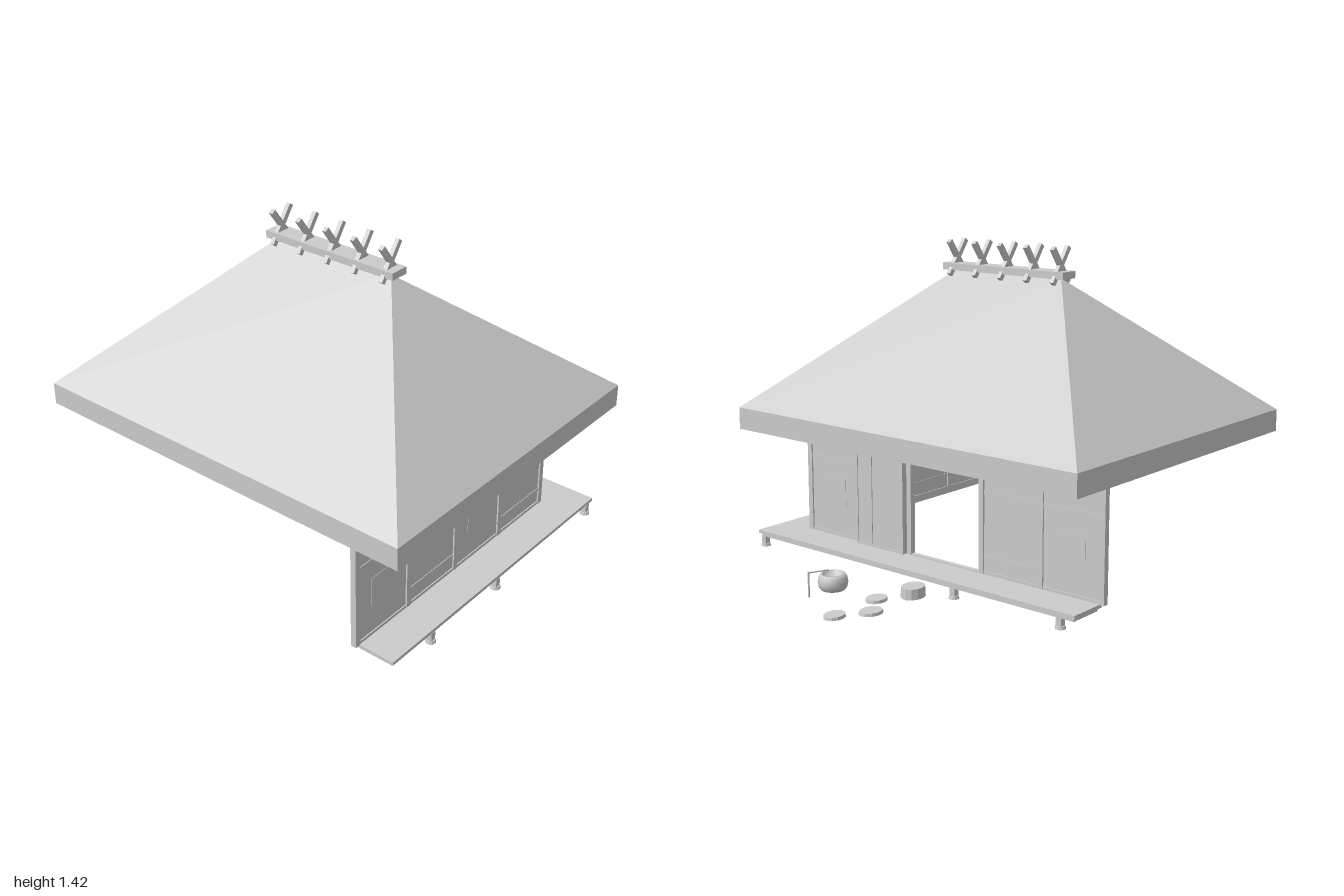
import * as THREE from 'three';

const mat = new THREE.MeshStandardMaterial({ color: 0xcccccc, flatShading: true, side: THREE.DoubleSide });
const smooth = new THREE.MeshStandardMaterial({ color: 0xcccccc, side: THREE.DoubleSide });

function add(parent, name, geo, x = 0, y = 0, z = 0, material = mat) {
  const m = new THREE.Mesh(geo, material);
  m.name = name;
  m.position.set(x, y, z);
  parent.add(m);
  return m;
}

// Box given by its minimum and maximum corners
function box(parent, name, x0, x1, y0, y1, z0, z1) {
  return add(parent, name, new THREE.BoxGeometry(x1 - x0, y1 - y0, z1 - z0),
    (x0 + x1) / 2, (y0 + y1) / 2, (z0 + z1) / 2);
}

function group(parent, name) {
  const g = new THREE.Group();
  g.name = name;
  parent.add(g);
  return g;
}

// Hipped roof: straight eave band, slopes rising to a ridge, flat underside
function roofGeometry() {
  const ring = (x0, x1, y, z0, z1) => [[x0, y, z1], [x1, y, z1], [x1, y, z0], [x0, y, z0]];
  const rings = [ring(-1, 0.54, 0.56, -0.955, 0.95), ring(-1, 0.54, 0.66, -0.955, 0.95),
    ring(-0.23, -0.23, 1.275, -0.3, 0.3)];
  const pos = [];
  const quad = (a, b, c, d) => pos.push(...a, ...b, ...c, ...a, ...c, ...d);
  for (let r = 0; r < 2; r++) {
    for (let i = 0; i < 4; i++) {
      const j = (i + 1) % 4;
      quad(rings[r][i], rings[r][j], rings[r + 1][j], rings[r + 1][i]);
    }
  }
  quad(...[...rings[0]].reverse());
  const geo = new THREE.BufferGeometry();
  geo.setAttribute('position', new THREE.Float32BufferAttribute(pos, 3));
  geo.computeVertexNormals();
  return geo;
}

// L-shaped slab running along the front and the +x side
function deckGeometry(inset, height) {
  const x0 = -0.957 + inset, x1 = 0.49 - inset, z0 = -0.915 + inset, z1 = 0.9 - inset;
  const xi = 0.305 + inset, zi = 0.715 + inset;
  const pts = [[x0, -z1], [x1, -z1], [x1, -z0], [xi, -z0], [xi, -zi], [x0, -zi]];
  const shape = new THREE.Shape(pts.map(p => new THREE.Vector2(...p)));
  return new THREE.ExtrudeGeometry(shape, { depth: height, bevelEnabled: false }).rotateX(-Math.PI / 2);
}

// One wall bay from a to b in the wall's own x, facing +z
function bay(wall, a, b, kind) {
  box(wall, 'wallPanel', a, b, 0.08, 0.56, -0.006, 0.006);
  box(wall, 'sill', a, b, 0.075, 0.09, -0.011, 0.011);
  box(wall, 'lintel', a, b, 0.548, 0.56, -0.011, 0.011);
  box(wall, 'upperRail', a, b, 0.42, 0.442, -0.009, 0.009);
  if (kind === 'rail') box(wall, 'lowerRail', a, b, 0.145, 0.16, -0.009, 0.009);
  if (kind === 'window') {
    const c = (a + b) / 2;
    box(wall, 'windowPanel', c - 0.07, c + 0.07, 0.22, 0.348, -0.008, 0.008);
  }
}

function post(wall, x) {
  box(wall, 'post', x - 0.013, x + 0.013, 0.075, 0.56, -0.013, 0.013);
}

function stone(parent, name, x, z, r, h, turn) {
  const s = add(parent, name, new THREE.CylinderGeometry(r * 0.95, r, h, 12), x, h / 2, z);
  s.scale.z = 0.8;
  s.rotation.y = turn;
}

export function createModel() {
  const model = new THREE.Group();
  model.name = 'thatchedHouse';

  // Roof and ridge with crossed timbers
  add(model, 'roof', roofGeometry());
  const ridge = group(model, 'ridge');
  box(ridge, 'ridgeBeam', -0.275, -0.185, 1.275, 1.307, -0.342, 0.342);
  for (let i = -2; i <= 2; i++) {
    for (const s of [-1, 1]) {
      const t = add(ridge, 'crossedTimber', new THREE.BoxGeometry(0.023, 0.19, 0.02), -0.23, 1.332, i * 0.147);
      t.rotation.z = s * 0.62;
    }
  }

  // Front wall
  const front = group(model, 'frontWall');
  front.position.z = 0.722;
  const frontPosts = [-0.967, -0.647, -0.33, -0.011, 0.308];
  frontPosts.forEach(x => post(front, x));
  for (let i = 0; i < 4; i++) bay(front, frontPosts[i], frontPosts[i + 1], i % 2 ? 'rail' : 'window');

  // Side wall, its own x running towards the back
  const side = group(model, 'sideWall');
  side.position.x = 0.308;
  side.rotation.y = Math.PI / 2;
  const sidePosts = [-0.722, -0.412, -0.105, 0.305, 0.617, 0.922];
  sidePosts.forEach(x => post(side, x));
  ['window', 'plain', null, 'rail', 'window'].forEach((kind, i) => {
    if (kind) bay(side, sidePosts[i], sidePosts[i + 1], kind);
  });
  box(side, 'doorLintel', -0.105, 0.305, 0.552, 0.565, -0.011, 0.011);
  box(side, 'doorSill', -0.105, 0.305, 0.07, 0.083, -0.011, 0.011);

  // Shutter box beside the opening
  const shutter = group(side, 'shutterBox');
  box(shutter, 'shutterCore', -0.395, -0.122, 0.08, 0.545, 0.013, 0.035);
  for (const [a, b] of [[-0.4, -0.39], [-0.31, -0.303], [-0.127, -0.117]]) {
    box(shutter, 'shutterStile', a, b, 0.08, 0.55, 0.011, 0.039);
  }
  for (const y of [0.08, 0.542]) box(shutter, 'shutterRail', -0.4, -0.117, y, y + 0.009, 0.011, 0.039);

  // Veranda on short feet
  const veranda = group(model, 'veranda');
  add(veranda, 'deck', deckGeometry(0, 0.015), 0, 0.062, 0);
  add(veranda, 'deckFrame', deckGeometry(0.012, 0.015), 0, 0.047, 0);
  for (const [x, z] of [[-0.69, 0.88], [-0.24, 0.88], [0.465, 0.88], [0.465, -0.28], [0.465, -0.83]]) {
    box(veranda, 'foot', x - 0.013, x + 0.013, 0.01, 0.05, z - 0.013, z + 0.013);
    add(veranda, 'footStone', new THREE.CylinderGeometry(0.02, 0.023, 0.013, 10), x, 0.0065, z);
  }

  // Stepping stones
  const path = group(model, 'steppingStones');
  stone(path, 'shoeStone', 0.552, -0.13, 0.062, 0.045, 0.2);
  stone(path, 'flatStone', 0.69, -0.05, 0.054, 0.013, 0.1);
  stone(path, 'flatStone', 0.815, -0.14, 0.055, 0.013, -0.1);
  stone(path, 'flatStone', 0.942, -0.06, 0.053, 0.013, 0.15);

  // Water basin with a spout
  const water = group(model, 'waterBasin');
  const profile = [[0, 0], [0.05, 0], [0.061, 0.013], [0.065, 0.035], [0.061, 0.057], [0.052, 0.069],
    [0.041, 0.069], [0.038, 0.045], [0, 0.045]].map(p => new THREE.Vector2(...p));
  add(water, 'basin', new THREE.LatheGeometry(profile, 24), 0.705, 0, 0.19, smooth);
  add(water, 'spoutPost', new THREE.CylinderGeometry(0.004, 0.004, 0.112, 8), 0.845, 0.056, 0.19);
  const spout = add(water, 'spout', new THREE.CylinderGeometry(0.003, 0.003, 0.118, 8), 0.787, 0.099, 0.19);
  spout.rotation.z = -Math.PI / 2 + 0.14;

  return model;
}
